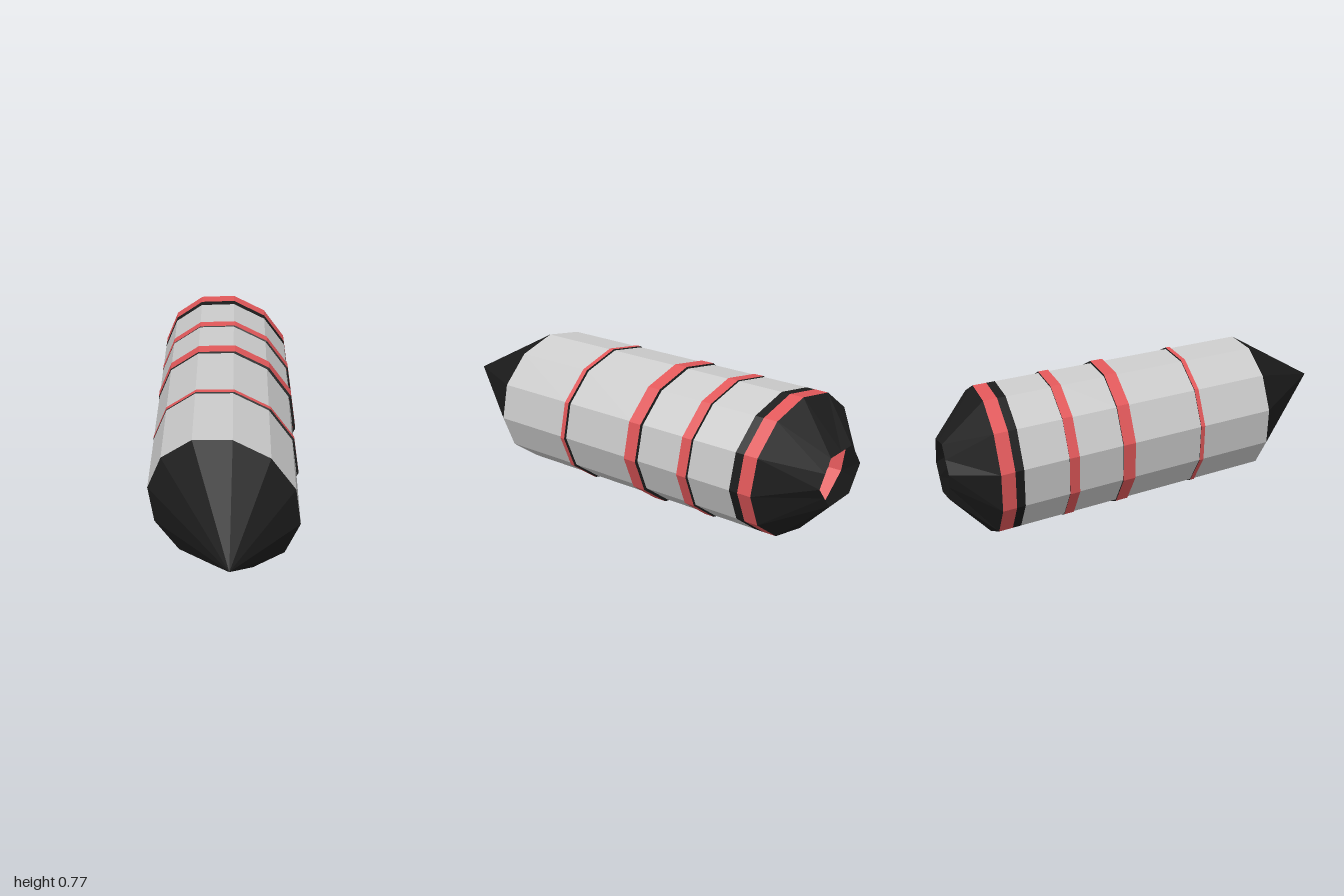
import * as THREE from 'three';

const SIDES = 12;
const START = THREE.MathUtils.degToRad(8);
const R = 0.375;

// Local y runs along the body from the nose ring to the tail; the rings are slightly skewed to it.
const PLACE = new THREE.Matrix4().makeBasis(
  new THREE.Vector3(0.656, 0, 0.754),
  new THREE.Vector3(0.618, -0.02, -0.786),
  new THREE.Vector3(0.016, 0.99, -0.054)
).setPosition(-0.45, 0.4, 0.535);

const material = (color) => new THREE.MeshStandardMaterial({
  color, flatShading: true, side: THREE.DoubleSide,
});

export function createModel() {
  const model = new THREE.Group();
  const grey = material(0xcccccc);
  const red = material(0xe2585a);
  const black = material(0x1c1c1c);

  // Open twelve-sided tube from s0 (radius r0) to s1 (radius r1), optionally reshaped by a rule
  function tube(name, mat, s0, s1, r0, r1, shift = 0, reshape = null) {
    const geo = new THREE.CylinderGeometry(r1, r0, s1 - s0, SIDES, 1, true, START);
    geo.translate(shift, (s0 + s1) / 2, 0);
    if (reshape) reshape(geo.attributes.position);
    geo.applyMatrix4(PLACE);
    geo.computeVertexNormals();
    const mesh = new THREE.Mesh(geo, mat);
    mesh.name = name;
    model.add(mesh);
  }

  // Pointed nose, its tip a little off the axis
  tube('noseCone', black, -0.546, 0, 0, R, 0, (p) => {
    for (let i = SIDES + 1; i < p.count; i++) {
      p.setX(i, 0.034);
      p.setZ(i, 0.058);
    }
  });

  // Raised red bands: start, end, radius, sideways shift
  const bands = [
    [0.43, 0.455, 0.382, 0.005],
    [0.857, 0.927, 0.385, 0.006],
    [1.175, 1.23, 0.381, 0.005],
  ];

  // Grey body sections between the bands
  let from = 0;
  for (const [s0, s1, r, shift] of bands) {
    tube('bodySection', grey, from, s0, R, R);
    tube('band', red, s0, s1, r, r, shift);
    // dark side walls of the band
    tube('bandEdge', black, s0 - 0.003, s0, R - 0.004, r, shift);
    tube('bandEdge', black, s1, s1 + 0.003, r, R - 0.004, shift);
    from = s1;
  }
  tube('bodySection', grey, from, 1.47, R, R);

  // Tail rings
  tube('tailCollar', black, 1.47, 1.515, R, R);
  tube('tailBand', red, 1.515, 1.587, R, R);

  // Tapered tail ending in a hexagonal opening
  tube('tailCone', black, 1.587, 1.794, R, 0.157, 0, (p) => {
    const inset = Math.cos(Math.PI / 6);
    for (let i = 0; i <= SIDES; i += 2) {
      p.setX(i, p.getX(i) * inset);
      p.setZ(i, p.getZ(i) * inset);
    }
  });

  return model;
}
